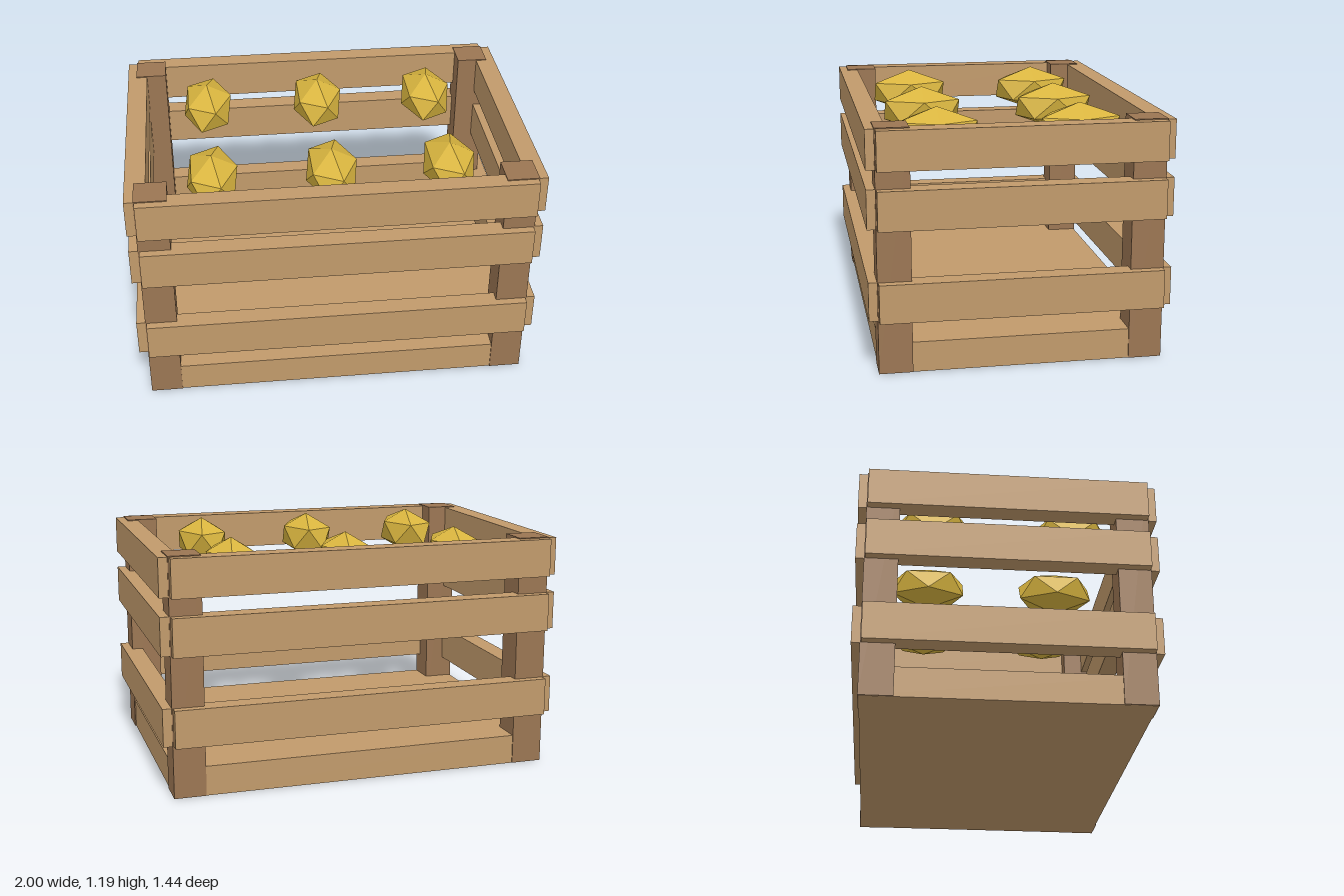
import * as THREE from 'three';
import { ConvexGeometry } from 'three/addons/geometries/ConvexGeometry.js';

const mat = (name, color) => {
  const m = new THREE.MeshStandardMaterial({ color });
  m.name = name;
  return m;
};

// Box given by its centre in x/z, its vertical span and its footprint
function box(name, material, x, z, y0, y1, width, depth) {
  const mesh = new THREE.Mesh(new THREE.BoxGeometry(width, y1 - y0, depth), material);
  mesh.name = name;
  mesh.position.set(x, (y0 + y1) / 2, z);
  return mesh;
}

// Faceted fruit: a pole at each end and two staggered rings of five
function fruitGeometry() {
  const points = [new THREE.Vector3(0, 1, 0), new THREE.Vector3(0, -1, 0)];
  const h = 1 / Math.sqrt(5), r = 2 * h;
  for (let i = 0; i < 10; i++) {
    const a = (i * Math.PI) / 5;
    points.push(new THREE.Vector3(r * Math.cos(a), i % 2 ? -h : h, r * Math.sin(a)));
  }
  return new ConvexGeometry(points).scale(0.14, 0.12, 0.227);
}

export function createModel() {
  const crate = new THREE.Group();
  crate.name = 'fruitCrate';
  const lightWood = mat('lightWood', 0xc19a6b);
  const darkWood = mat('darkWood', 0x9b7653);
  const yellow = mat('yellowFruit', 0xd9b53f);

  // Floor
  crate.add(box('floor', lightWood, 0, 0, 0, 0.147, 1.9, 1.35));

  // Corner posts
  for (const sx of [-1, 1])
    for (const sz of [-1, 1])
      crate.add(box('cornerPost', darkWood, sx * 0.878, sz * 0.6, 0.001, 1.168, 0.156, 0.16));

  // Three rows of slats around the crate
  for (const [y0, y1] of [[0.26, 0.447], [0.698, 0.886], [0.975, 1.163]])
    for (const s of [-1, 1]) {
      crate.add(box(s > 0 ? 'frontSlat' : 'backSlat', lightWood, 0, s * 0.672, y0, y1, 1.9, 0.098));
      crate.add(box(s > 0 ? 'leftSlat' : 'rightSlat', lightWood, s * 0.95, 0, y0, y1, 0.1, 1.35));
    }

  // Two rows of three fruits
  const geometry = fruitGeometry();
  for (const x of [-0.585, 0, 0.585])
    for (const z of [-0.35, 0.35]) {
      const fruit = new THREE.Mesh(geometry, yellow);
      fruit.name = 'fruit';
      fruit.position.set(x, 1.07, z);
      crate.add(fruit);
    }
  return crate;
}
